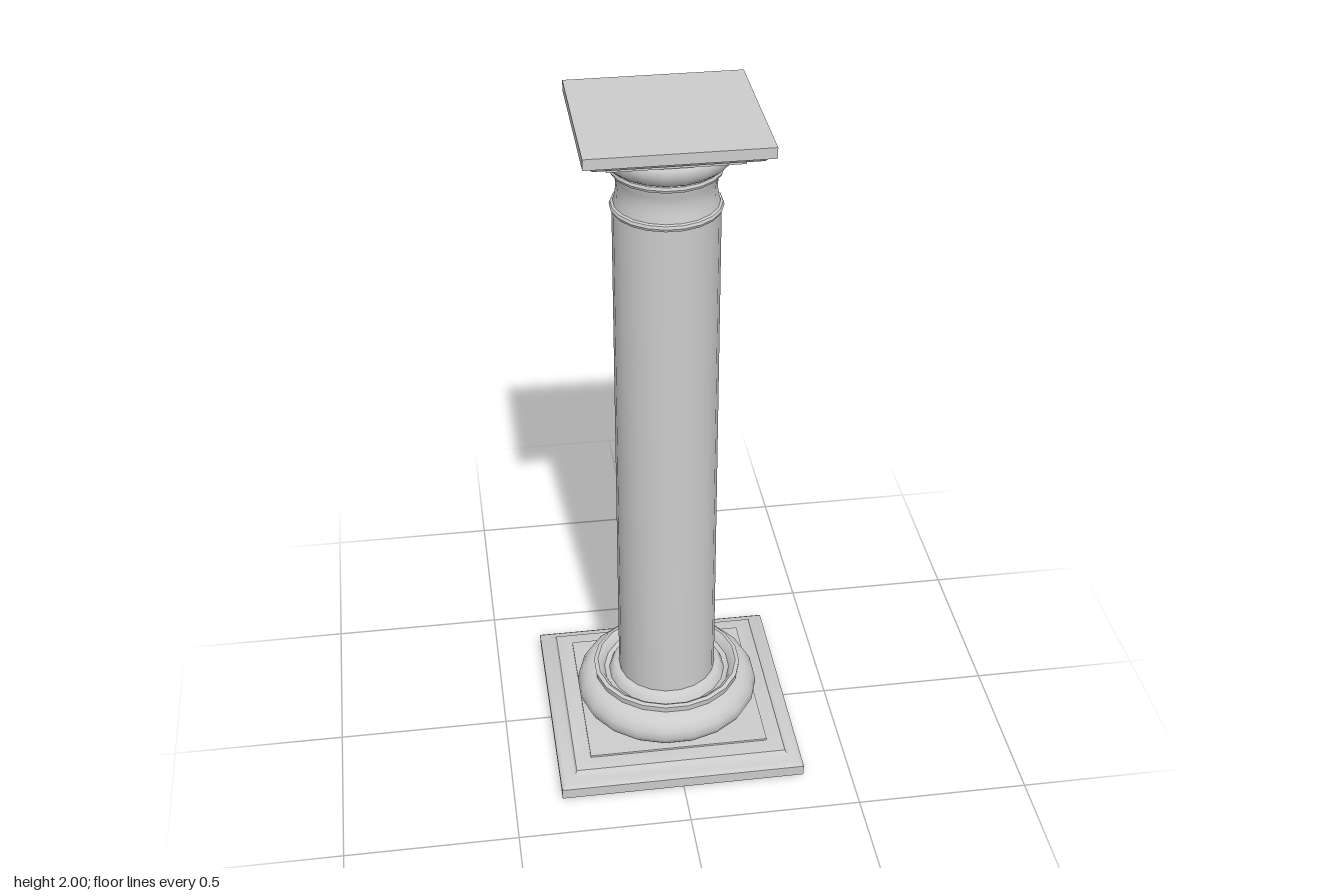
import * as THREE from 'three';
import { toCreasedNormals } from 'three/addons/utils/BufferGeometryUtils.js';

const SIDES = 20;

export function createModel() {
  const group = new THREE.Group();
  const stone = new THREE.MeshStandardMaterial({ color: 0xcccccc });
  stone.name = 'paleStone';

  const add = (name, geometry) => {
    const mesh = new THREE.Mesh(toCreasedNormals(geometry, 0.75), stone);
    mesh.name = name;
    group.add(mesh);
  };

  // Profiles run from bottom to top as [radius, height]
  const round = (name, profile) => add(name, new THREE.LatheGeometry(
    profile.map(([r, y]) => new THREE.Vector2(r, y)), SIDES, Math.PI / SIDES));

  // Square mouldings: profiles of [half width, height]
  const square = (name, profile) => add(name, new THREE.LatheGeometry(
    profile.map(([h, y]) => new THREE.Vector2(h * Math.SQRT2, y)), 4, Math.PI / 4));

  // Square plinth with a sloping shoulder and a low step
  square('plinth', [
    [0, 0], [0.36, 0], [0.361, 0.033], [0.35, 0.04], [0.33, 0.045], [0.316, 0.052],
    [0.312, 0.06], [0.265, 0.063], [0.265, 0.069], [0, 0.069],
  ]);

  // Bulging base ring with a raised rim and a sunken channel inside it
  round('baseRing', [
    [0.245, 0.069], [0.245, 0.075], [0.262, 0.085], [0.273, 0.107], [0.27, 0.13],
    [0.258, 0.152], [0.24, 0.166], [0.22, 0.17], [0.222, 0.188], [0.21, 0.191],
    [0.2, 0.185], [0.19, 0.165], [0.175, 0.16], [0.168, 0.177], [0.158, 0.186], [0.14, 0.188],
  ].map(([r, y]) => [r, y]));

  // Plain shaft
  round('shaft', [[0.145, 0.16], [0.145, 1.735]]);

  // Bead rings below and above the neck
  for (const [name, y, r] of [['lowerBead', 1.743, 0.141], ['upperBead', 1.853, 0.141]]) {
    const bead = new THREE.TorusGeometry(r, 0.011, 8, SIDES);
    bead.rotateX(Math.PI / 2).rotateY(Math.PI / SIDES).translate(0, y, 0);
    add(name, bead);
  }

  // Waisted neck
  round('neck', [
    [0.145, 1.735], [0.142, 1.755], [0.136, 1.775], [0.134, 1.8], [0.136, 1.825],
    [0.143, 1.842], [0.143, 1.865],
  ]);

  // Cushion under the abacus
  round('capitalCushion', [
    [0.14, 1.862], [0.155, 1.867], [0.17, 1.88], [0.178, 1.9], [0.178, 1.918],
    [0.168, 1.93], [0.14, 1.935],
  ]);

  // Square abacus with a curved underside
  square('abacus', [
    [0, 1.929], [0.178, 1.929], [0.178, 1.942], [0.2, 1.946], [0.217, 1.953],
    [0.226, 1.964], [0.243, 1.97], [0.243, 2], [0, 2],
  ]);

  return group;
}
